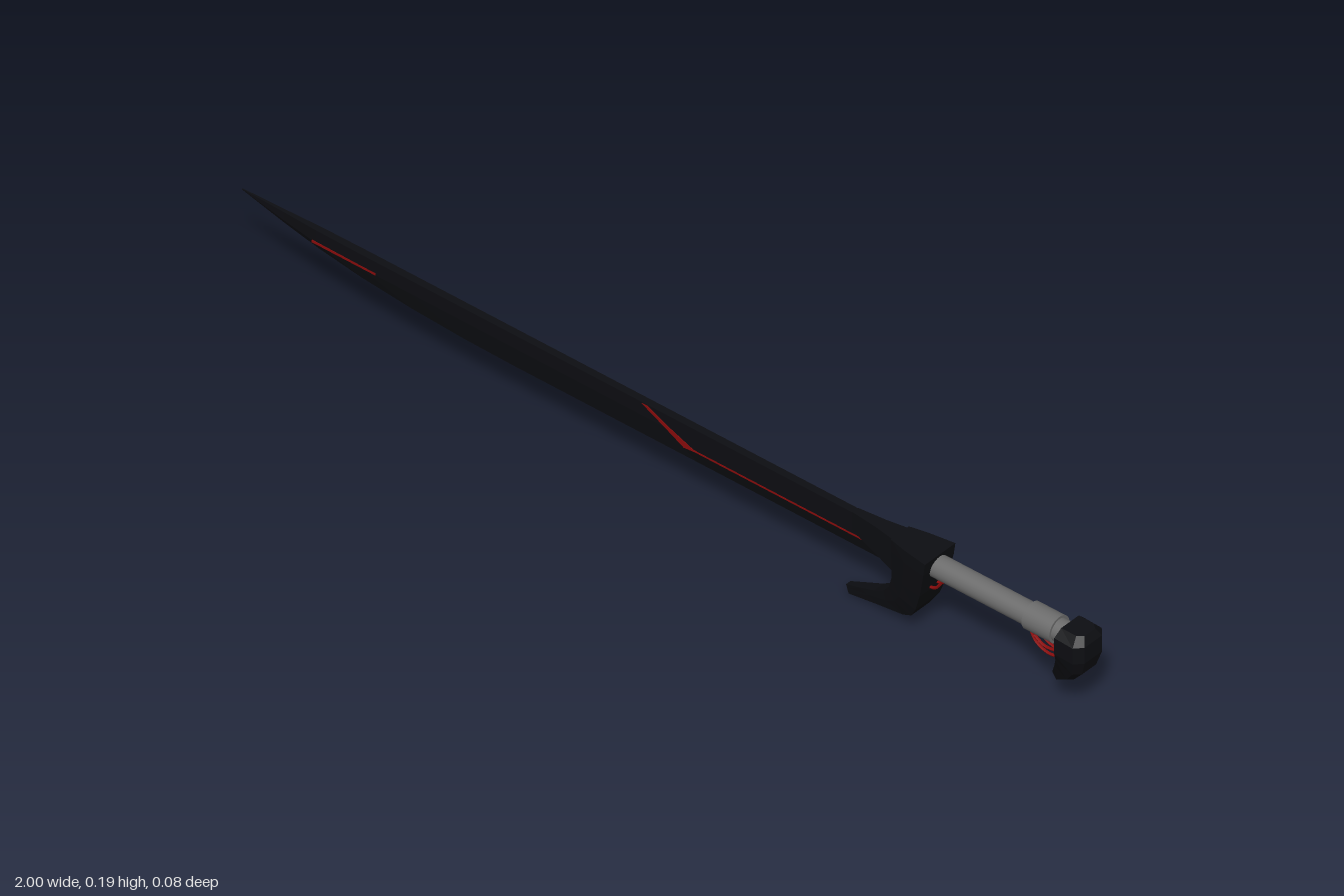
import * as THREE from 'three';

const paint = (color) => new THREE.MeshStandardMaterial({ color, flatShading: true, side: THREE.DoubleSide });
const black = paint(0x0d0e12);
const red = paint(0x8c0c0c);
const steel = new THREE.MeshStandardMaterial({ color: 0x6c6c6c });

// Skin a list of equal-length rings of [x, y, z] points and cap both ends
function loft(rings) {
  const n = rings[0].length, tris = [];
  for (let i = 0; i + 1 < rings.length; i++) {
    for (let j = 0; j < n; j++) {
      const k = (j + 1) % n;
      const [a, b, c, d] = [rings[i][j], rings[i][k], rings[i + 1][k], rings[i + 1][j]];
      tris.push([a, b, c], [a, c, d]);
    }
  }
  const last = rings[rings.length - 1];
  for (let j = 1; j + 1 < n; j++) {
    tris.push([rings[0][0], rings[0][j + 1], rings[0][j]], [last[0], last[j], last[j + 1]]);
  }
  // Turn the faces outward
  const v = (p) => new THREE.Vector3(...p);
  const volume = tris.reduce((s, [a, b, c]) => s + v(a).dot(v(b).cross(v(c))), 0);
  if (volume < 0) tris.forEach((t) => t.reverse());
  const geometry = new THREE.BufferGeometry();
  geometry.setAttribute('position', new THREE.Float32BufferAttribute(tris.flat(2), 3));
  geometry.computeVertexNormals();
  return geometry;
}

export function createModel() {
  const model = new THREE.Group();
  const add = (name, geometry, material, parent = model) => {
    const mesh = new THREE.Mesh(geometry, material);
    mesh.name = name;
    parent.add(mesh);
    return mesh;
  };

  // Blade: flat spine, bevelled cutting edge; [x, edge y, ridge y, half thickness]
  const blade = [
    [-1, 0.188, 0.189, 0.001], [-0.9, 0.163, 0.172, 0.004], [-0.82, 0.146, 0.161, 0.007],
    [-0.72, 0.131, 0.16, 0.008], [-0.6, 0.12, 0.16, 0.008], [-0.48, 0.114, 0.16, 0.008],
    [-0.36, 0.112, 0.16, 0.008], [0, 0.112, 0.16, 0.008], [0.07, 0.112, 0.14, 0.008],
    [0.58, 0.112, 0.14, 0.008],
  ];
  add('blade', loft(blade.map(([x, edge, ridge, t]) => [
    [x, 0.19, t], [x, ridge, t], [x, edge, 0.0005], [x, edge, -0.0005], [x, ridge, -t], [x, 0.19, -t],
  ])), black);

  // Red inlays, showing on both faces of the blade
  const slash = new THREE.Shape([
    [-0.055, 0.188], [-0.04, 0.188], [0.015, 0.163], [0.075, 0.14], [0.045, 0.137], [0.005, 0.158],
  ].map(([x, y]) => new THREE.Vector2(x, y)));
  add('slashInlay', new THREE.ExtrudeGeometry(slash, { depth: 0.018, bevelEnabled: false })
    .translate(0, 0, -0.009), red);
  add('rearInlay', new THREE.BoxGeometry(0.5, 0.004, 0.0168).translate(0.31, 0.141, 0), red);
  add('tipInlay', new THREE.BoxGeometry(0.15, 0.005, 0.0168).translate(-0.755, 0.162, 0), red);

  // Guard: wide toward the grip, narrow toward the blade, sweeping into a hooked prong
  // [grip side x, y, half width, blade side x, y, half width]
  const guard = [
    [0.64, 0.192, 0.042, 0.545, 0.192, 0.025], [0.636, 0.165, 0.042, 0.546, 0.165, 0.025],
    [0.624, 0.11, 0.038, 0.545, 0.105, 0.022], [0.61, 0.07, 0.033, 0.535, 0.075, 0.019],
    [0.594, 0.045, 0.026, 0.52, 0.058, 0.016], [0.568, 0.03, 0.019, 0.495, 0.044, 0.013],
    [0.505, 0.016, 0.012, 0.46, 0.031, 0.01], [0.43, 0, 0.006, 0.424, 0.018, 0.006],
  ];
  add('guard', loft(guard.map(([x, y, w, x2, y2, w2]) => [
    [x, y, w], [x, y, -w],
    [x + (x2 - x) * 0.6, y + (y2 - y) * 0.6, -w * 0.5 - w2 * 0.5],
    [x2, y2, -w2], [x2, y2, w2],
    [x + (x2 - x) * 0.6, y + (y2 - y) * 0.6, w * 0.5 + w2 * 0.5],
  ])), black);
  // Narrow collar tapering from the guard onto the blade
  add('bladeCollar', loft([[0.44, 0.008, 0.15], [0.5, 0.014, 0.13], [0.56, 0.024, 0.115]]
    .map(([x, w, y]) => [[x, 0.191, w], [x, y, w], [x, y, -w], [x, 0.191, -w]])), black);

  // Grip and its stepped ferrule
  const rod = (name, x0, x1, r) => add(name, new THREE.CylinderGeometry(r, r, x1 - x0, 28)
    .rotateZ(Math.PI / 2).translate((x0 + x1) / 2, 0.163, 0), steel);
  rod('grip', 0.6, 0.86, 0.023);
  rod('ferrule', 0.855, 0.92, 0.028);
  rod('gripEnd', 0.915, 0.96, 0.023);

  // Pommel: chamfered head with a beak curling toward the grip
  // [outer x, y, half width, inner x, y, half width]
  const pommel = [
    [0.992, 0.193, 0.024, 0.945, 0.193, 0.024], [1, 0.176, 0.04, 0.942, 0.178, 0.04],
    [1, 0.14, 0.04, 0.942, 0.142, 0.04], [0.99, 0.108, 0.032, 0.938, 0.122, 0.032],
    [0.965, 0.08, 0.022, 0.927, 0.098, 0.022], [0.925, 0.056, 0.01, 0.912, 0.07, 0.01],
  ];
  add('pommel', loft(pommel.map(([x, y, w, x2, y2, w2]) => {
    const c = (x - x2) * 0.25;
    return [[x, y, w * 0.6], [x, y, -w * 0.6], [x - c, y, -w], [x2, y2, -w2], [x2, y2, w2], [x - c, y, w]];
  })), black);

  // Thin red cables hanging under the grip ends
  const cables = new THREE.Group();
  cables.name = 'cables';
  model.add(cables);
  const cable = (points) => add('cable', new THREE.TubeGeometry(
    new THREE.CatmullRomCurve3(points.map((p) => new THREE.Vector3(...p))), 16, 0.003, 6), red, cables);
  for (const z of [-0.01, 0.01]) {
    cable([[0.86, 0.14, z], [0.875, 0.118, z], [0.905, 0.107, z], [0.945, 0.118, z]]);
    cable([[0.875, 0.138, z * 1.6], [0.9, 0.125, z * 1.6], [0.945, 0.132, z * 1.6]]);
    cable([[0.615, 0.115, z], [0.637, 0.12, z], [0.655, 0.143, z]]);
  }
  return model;
}
